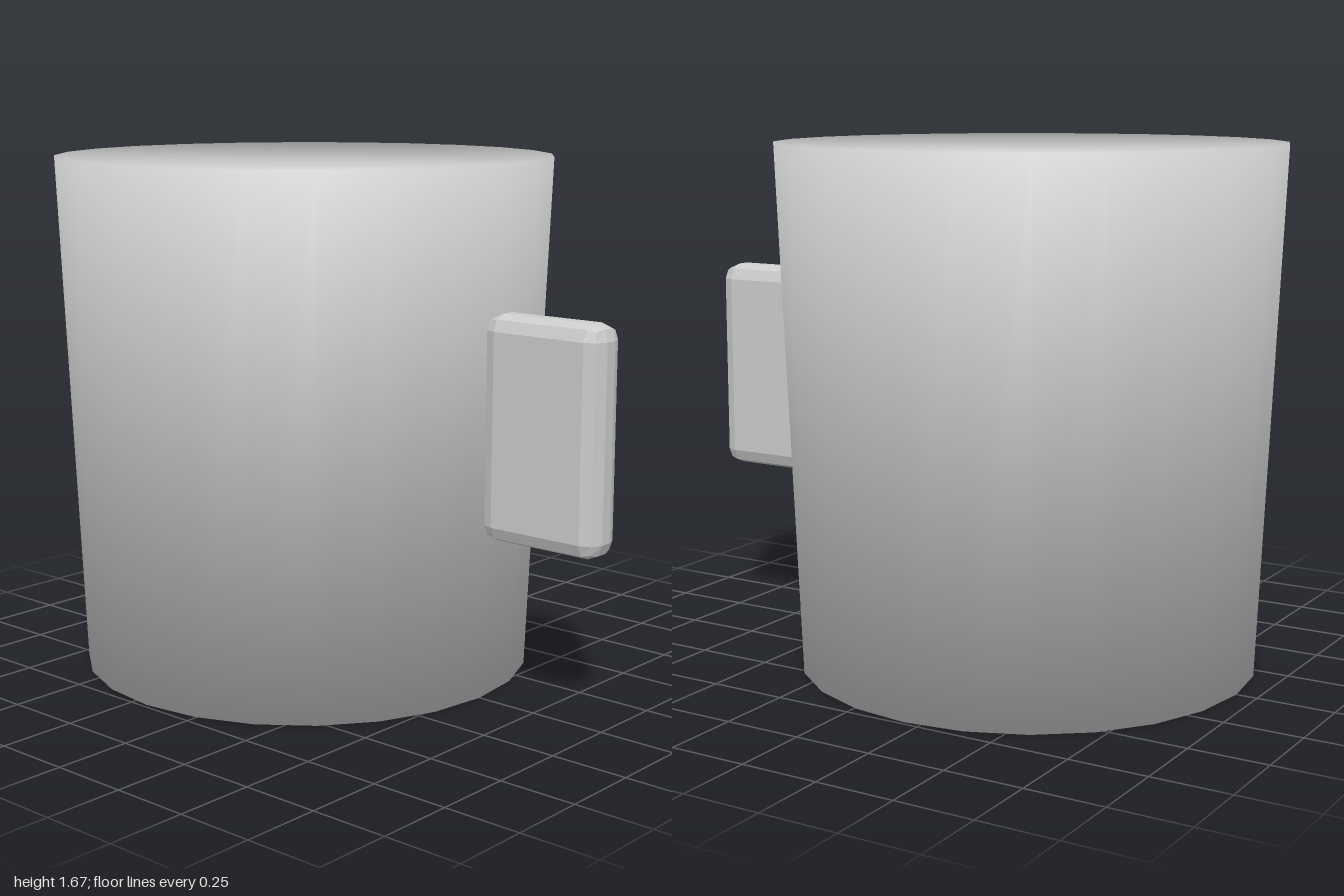
import * as THREE from 'three';
import { RoundedBoxGeometry } from 'three/addons/geometries/RoundedBoxGeometry.js';

const SIDES = 24;

// Closed tapered solid whose rim normals are shared by wall and caps (soft shading throughout)
function softTaperedSolid(topRadius, bottomRadius, height) {
  const positions = [], normals = [], index = [];
  const ring = (radius, y, tilt) => {
    for (let i = 0; i < SIDES; i++) {
      const a = (i / SIDES) * Math.PI * 2;
      positions.push(radius * Math.cos(a), y, radius * Math.sin(a));
      normals.push(...new THREE.Vector3(Math.cos(a), tilt, Math.sin(a)).normalize().toArray());
    }
  };
  ring(topRadius, height, 0.88);
  ring(bottomRadius, 0, -0.97);

  for (let i = 0; i < SIDES; i++) {
    const j = (i + 1) % SIDES;
    index.push(i, j, SIDES + j, i, SIDES + j, SIDES + i); // wall
    if (i > 0 && j > 0) {
      index.push(0, j, i); // top cap
      index.push(SIDES, SIDES + i, SIDES + j); // bottom cap
    }
  }
  const geometry = new THREE.BufferGeometry();
  geometry.setAttribute('position', new THREE.Float32BufferAttribute(positions, 3));
  geometry.setAttribute('normal', new THREE.Float32BufferAttribute(normals, 3));
  geometry.setIndex(index);
  return geometry;
}

export function createModel() {
  const group = new THREE.Group();
  group.name = 'mug';

  // Tapered body
  const body = new THREE.Mesh(
    softTaperedSolid(0.805, 0.737, 1.67),
    new THREE.MeshStandardMaterial({ color: 0xcccccc })
  );
  body.name = 'body';
  body.position.x = -0.195;
  group.add(body);

  // Slab handle with a two-step bevel
  const handle = new THREE.Mesh(
    new RoundedBoxGeometry(0.42, 0.7, 0.14, 1, 0.05),
    new THREE.MeshStandardMaterial({ color: 0xcccccc, flatShading: true })
  );
  handle.name = 'handle';
  handle.position.set(0.789, 0.88, 0);
  group.add(handle);

  return group;
}
